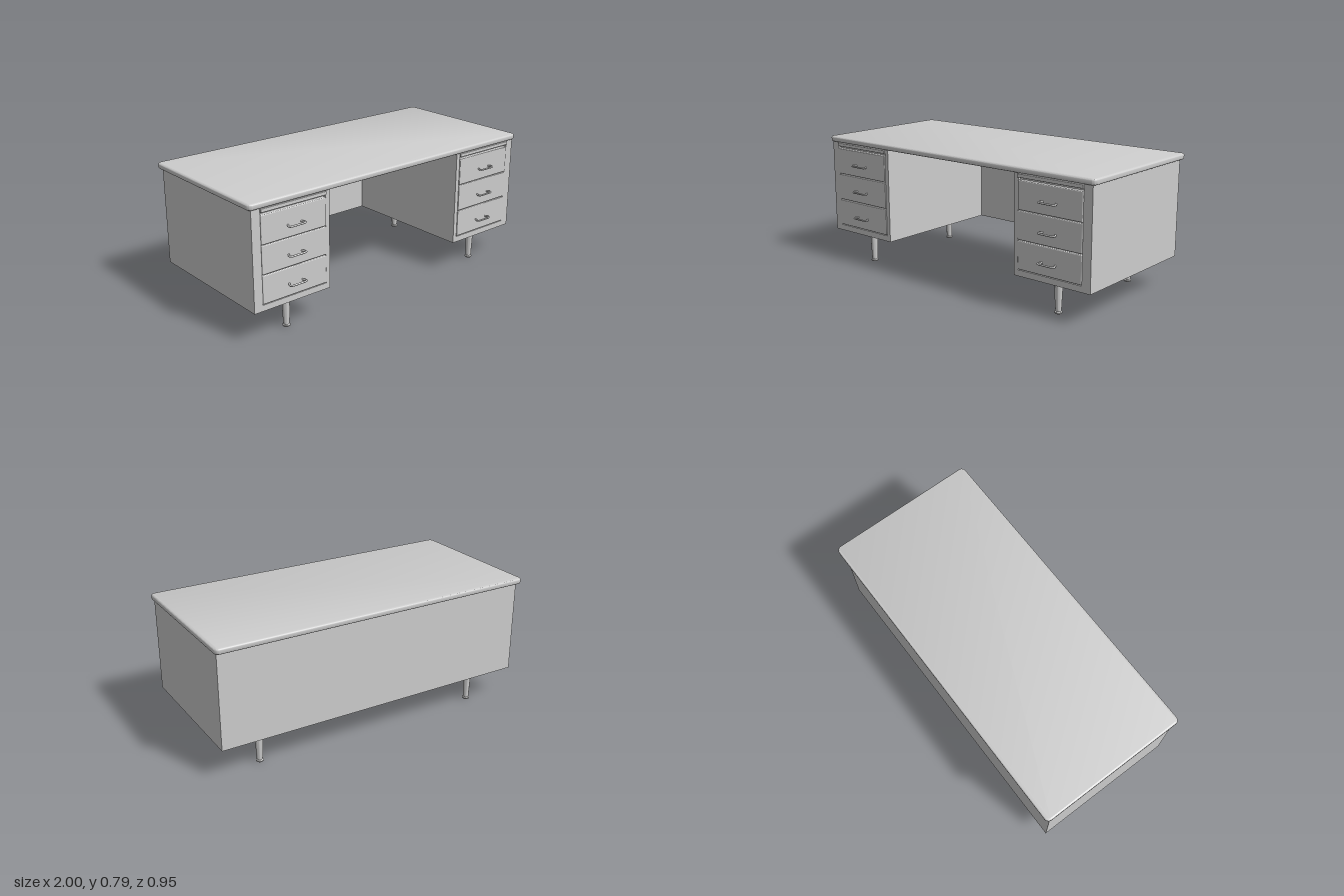
import * as THREE from 'three';
import { RoundedBoxGeometry } from 'three/addons/geometries/RoundedBoxGeometry.js';
import { toCreasedNormals } from 'three/addons/utils/BufferGeometryUtils.js';

const grey = new THREE.MeshStandardMaterial({ color: 0xcccccc });
grey.name = 'grey';

function add(parent, name, geometry, x = 0, y = 0, z = 0) {
  const mesh = new THREE.Mesh(geometry, grey);
  mesh.name = name;
  mesh.position.set(x, y, z);
  parent.add(mesh);
  return mesh;
}

// Box given by its limits, with optional rounded edges
function block(parent, name, [x0, x1], [y0, y1], [z0, z1], radius = 0) {
  const size = [x1 - x0, y1 - y0, z1 - z0];
  const geometry = radius
    ? new RoundedBoxGeometry(...size, 3, radius)
    : new THREE.BoxGeometry(...size);
  return add(parent, name, geometry, (x0 + x1) / 2, (y0 + y1) / 2, (z0 + z1) / 2);
}

function rectangle(target, x0, x1, y0, y1) {
  target.moveTo(x0, y0);
  target.lineTo(x1, y0);
  target.lineTo(x1, y1);
  target.lineTo(x0, y1);
  target.closePath();
  return target;
}

// Desktop slab with rounded corners and softened edges
function desktopGeometry() {
  const b = 0.01, r = 0.018;
  const x = 1 - b, back = 0.475 - b, front = -0.44 + b;
  const s = new THREE.Shape();
  s.moveTo(-x + r, front);
  s.lineTo(x - r, front);
  s.absarc(x - r, front + r, r, -Math.PI / 2, 0);
  s.absarc(x - r, back - r, r, 0, Math.PI / 2);
  s.absarc(-x + r, back - r, r, Math.PI / 2, Math.PI);
  s.absarc(-x + r, front + r, r, Math.PI, Math.PI * 1.5);
  const g = new THREE.ExtrudeGeometry(s, {
    depth: 0.034 - 2 * b, bevelSize: b, bevelThickness: b, bevelSegments: 4, curveSegments: 6,
  });
  g.rotateX(-Math.PI / 2);
  g.translate(0, 0.755 + b, 0);
  return toCreasedNormals(g, 0.6);
}

// Bow handle: straight bar with two bent ends
function handleGeometry() {
  const path = new THREE.CurvePath();
  const v = (x, z) => new THREE.Vector3(x, 0, z);
  path.add(new THREE.LineCurve3(v(-0.042, 0), v(-0.052, 0.018)));
  path.add(new THREE.QuadraticBezierCurve3(v(-0.052, 0.018), v(-0.058, 0.032), v(-0.036, 0.034)));
  path.add(new THREE.LineCurve3(v(-0.036, 0.034), v(0.036, 0.034)));
  path.add(new THREE.QuadraticBezierCurve3(v(0.036, 0.034), v(0.058, 0.032), v(0.052, 0.018)));
  path.add(new THREE.LineCurve3(v(0.052, 0.018), v(0.042, 0)));
  return new THREE.TubeGeometry(path, 40, 0.0055, 8);
}

// Tapered leg with a small turned foot
function legGeometry() {
  const profile = [[0, 0], [0.018, 0], [0.022, 0.004], [0.022, 0.01], [0.017, 0.015],
    [0.018, 0.03], [0.021, 0.1], [0.024, 0.182], [0, 0.182]];
  const g = new THREE.LatheGeometry(profile.map(([x, y]) => new THREE.Vector2(x, y)), 20);
  return toCreasedNormals(g, 0.7);
}

function pedestal(side, handle, leg) {
  const group = new THREE.Group();
  group.name = side > 0 ? 'leftPedestal' : 'rightPedestal';
  const span = (a, b) => (side > 0 ? [a, b] : [-b, -a]);
  const outer = span(0.485, 0.982), inner = span(0.511, 0.928);
  const middle = side * 0.7195;

  // Cabinet body with an open front frame
  block(group, 'cabinet', outer, [0.186, 0.757], [-0.42, 0.408]);
  const frame = rectangle(new THREE.Shape(), ...outer, 0.186, 0.757);
  frame.holes.push(rectangle(new THREE.Path(), ...inner, 0.221, 0.756));
  add(group, 'frontFrame', new THREE.ExtrudeGeometry(frame, { depth: 0.02, bevelEnabled: false }), 0, 0, 0.408);

  // Pull-out board above the drawers
  block(group, 'pullOutBoard', inner, [0.731, 0.752], [0.38, 0.437], 0.003);

  // Three drawers with handles
  [0.225, 0.391, 0.556].forEach((y, i) => {
    block(group, 'drawerFront', inner, [y, y + 0.161], [0.39, 0.432 + i * 0.001], 0.005);
    add(group, 'drawerHandle', handle, middle, y + 0.07, 0.432);
  });

  // Legs on mounting plates
  for (const z of [0.344, -0.35]) {
    add(group, 'leg', leg, side * 0.724, 0, z);
    add(group, 'legPlate', new THREE.BoxGeometry(0.096, 0.006, 0.096), side * 0.724, 0.184, z);
  }
  return group;
}

export function createModel() {
  const desk = new THREE.Group();
  desk.name = 'desk';
  add(desk, 'desktop', desktopGeometry());
  block(desk, 'backPanel', [-0.982, 0.982], [0.186, 0.757], [-0.44, -0.42]);
  const handle = handleGeometry(), leg = legGeometry();
  for (const side of [1, -1]) desk.add(pedestal(side, handle, leg));
  return desk;
}
